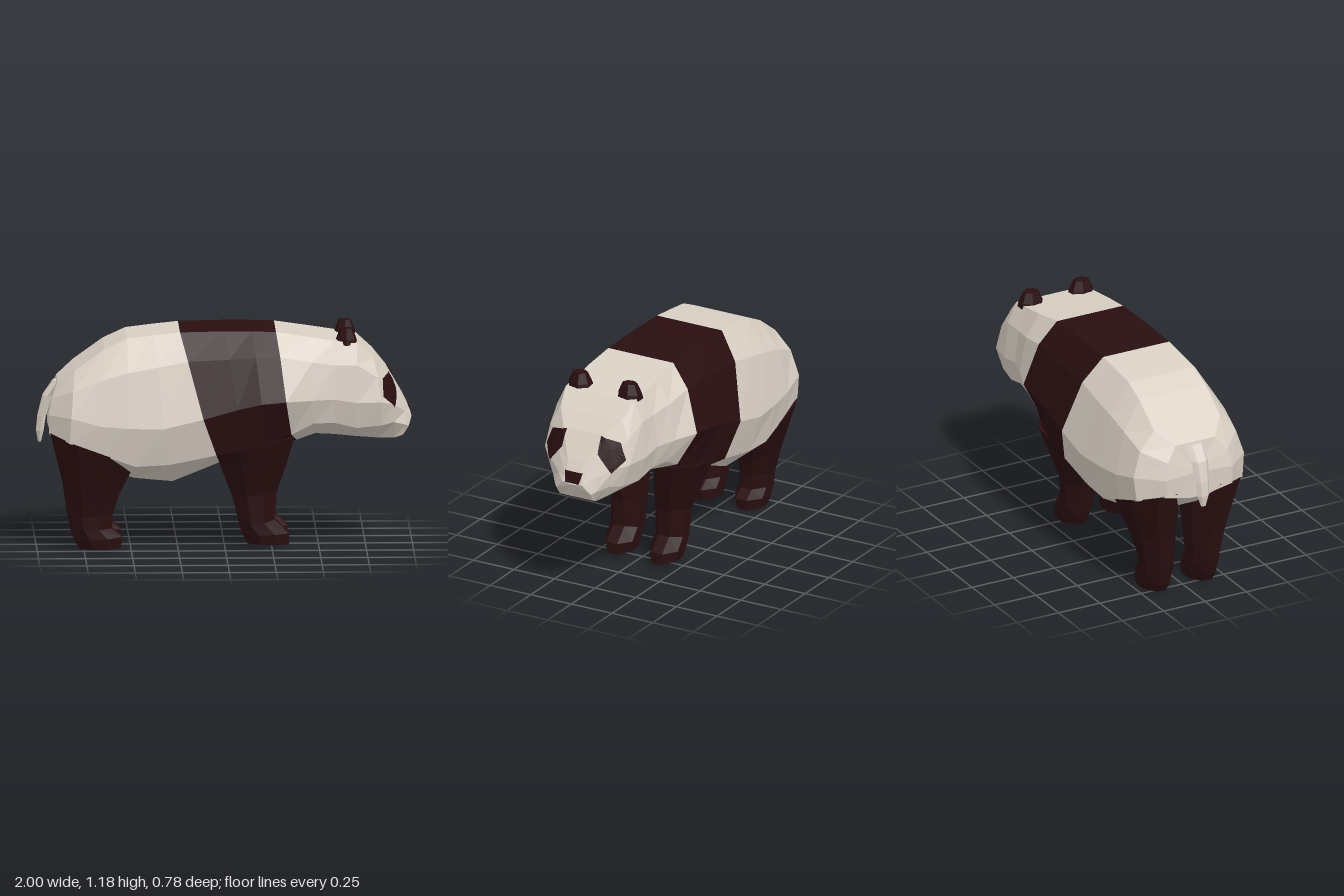
import * as THREE from 'three';

const light = new THREE.MeshStandardMaterial({ color: 0xdad0c5 });
light.name = 'creamFur';
const dark = new THREE.MeshStandardMaterial({ color: 0x290e10 });
dark.name = 'darkFur';
const darkThin = dark.clone();
darkThin.side = THREE.DoubleSide;

// Flat-shaded skin over a row of equal-length rings, with optional end caps
function loft(rings, { closed = true, startCap = false, endCap = false, apex = null } = {}) {
  const pos = [];
  const tri = (...pts) => pts.forEach((p) => pos.push(...p));
  const n = rings[0].length;
  const last = closed ? n : n - 1;
  for (let i = 0; i < rings.length - 1; i++) {
    for (let j = 0; j < last; j++) {
      const k = (j + 1) % n;
      const a = rings[i][j], b = rings[i][k], c = rings[i + 1][k], d = rings[i + 1][j];
      tri(a, d, c);
      tri(a, c, b);
    }
  }
  const mean = (r) => [0, 1, 2].map((q) => r.reduce((s, p) => s + p[q], 0) / n);
  const cap = (r, flip, tip) => r.forEach((p, j) => {
    const next = r[(j + 1) % n];
    if (flip) tri(tip, next, p); else tri(tip, p, next);
  });
  if (startCap) cap(rings[0], false, mean(rings[0]));
  if (endCap) cap(rings[rings.length - 1], true, apex || mean(rings[rings.length - 1]));
  const g = new THREE.BufferGeometry();
  g.setAttribute('position', new THREE.Float32BufferAttribute(pos, 3));
  g.computeVertexNormals();
  return g;
}

// Mirror a half section (top to belly) into a ring from left belly over the back to right belly
const ring = (half) => [...[...half].reverse(), ...half.map(([x, y, z]) => [x, y, -z])];

// Half sections: back edge, upper flank, widest flank, lower flank, belly
const bandBack = [[-0.24, 1.172, 0.2], [-0.2, 1.03, 0.305], [-0.12, 0.73, 0.385], [-0.05, 0.53, 0.33], [-0.03, 0.47, 0.18]];
const bandFront = [[0.27, 1.172, 0.2], [0.29, 1.05, 0.3], [0.32, 0.82, 0.375], [0.35, 0.63, 0.27], [0.38, 0.58, 0.12]];

const rumpSections = [
  [[-0.89, 0.9, 0.12], [-0.92, 0.82, 0.18], [-0.94, 0.73, 0.2], [-0.935, 0.63, 0.2], [-0.92, 0.59, 0.05]],
  [[-0.8, 0.97, 0.2], [-0.81, 0.87, 0.29], [-0.82, 0.73, 0.335], [-0.83, 0.595, 0.32], [-0.8, 0.5, 0.1]],
  [[-0.64, 1.085, 0.2], [-0.66, 0.93, 0.305], [-0.66, 0.69, 0.355], [-0.65, 0.53, 0.33], [-0.65, 0.43, 0.14]],
  [[-0.52, 1.14, 0.2], [-0.52, 0.97, 0.31], [-0.52, 0.68, 0.37], [-0.48, 0.47, 0.33], [-0.48, 0.388, 0.18]],
  [[-0.38, 1.157, 0.2], [-0.36, 1.0, 0.31], [-0.33, 0.68, 0.385], [-0.3, 0.48, 0.33], [-0.28, 0.373, 0.2]],
  bandBack,
];
const bandSections = [
  bandBack,
  [[0.0, 1.177, 0.2], [0.02, 1.04, 0.305], [0.06, 0.78, 0.38], [0.1, 0.55, 0.33], [0.1, 0.52, 0.15]],
  [[0.14, 1.176, 0.2], [0.16, 1.05, 0.305], [0.19, 0.81, 0.388], [0.23, 0.59, 0.31], [0.24, 0.55, 0.14]],
  bandFront,
];
const headSections = [
  bandFront,
  [[0.45, 1.145, 0.21], [0.46, 1.02, 0.285], [0.46, 0.82, 0.32], [0.47, 0.69, 0.27], [0.48, 0.617, 0.13]],
  [[0.58, 1.125, 0.21], [0.58, 1.0, 0.262], [0.58, 0.82, 0.285], [0.58, 0.69, 0.25], [0.58, 0.612, 0.13]],
  [[0.7, 1.11, 0.21], [0.7, 1.0, 0.262], [0.7, 0.8, 0.282], [0.7, 0.66, 0.24], [0.7, 0.6, 0.13]],
  [[0.79, 1.03, 0.19], [0.81, 0.93, 0.24], [0.83, 0.8, 0.262], [0.83, 0.67, 0.22], [0.82, 0.59, 0.12]],
  [[0.86, 0.95, 0.13], [0.87, 0.88, 0.17], [0.89, 0.78, 0.2], [0.9, 0.68, 0.17], [0.9, 0.586, 0.1]],
  [[0.945, 0.81, 0.055], [0.95, 0.78, 0.085], [0.96, 0.73, 0.1], [0.96, 0.66, 0.125], [0.93, 0.595, 0.1]],
  [[0.972, 0.757, 0.045], [0.98, 0.73, 0.055], [0.995, 0.7, 0.06], [0.978, 0.65, 0.105], [0.95, 0.605, 0.1]],
];

// Leg rings from top to sole: back x, back y, front x, front y, inner z, outer z
const hindLeg = [
  [-0.93, 0.635, -0.48, 0.475, 0.04, 0.338], [-0.86, 0.35, -0.56, 0.31, 0.05, 0.265],
  [-0.835, 0.17, -0.595, 0.2, 0.058, 0.225], [-0.82, 0.11, -0.6, 0.115, 0.058, 0.222],
  [-0.8, 0.05, -0.545, 0.07, 0.058, 0.222], [-0.77, 0.005, -0.555, 0.008, 0.065, 0.212],
];
const frontLeg = [
  [-0.06, 0.56, 0.365, 0.61, 0.06, 0.335], [-0.03, 0.47, 0.33, 0.48, 0.05, 0.29],
  [0.04, 0.28, 0.275, 0.31, 0.05, 0.225], [0.08, 0.12, 0.265, 0.16, 0.055, 0.22],
  [0.095, 0.08, 0.34, 0.085, 0.055, 0.222], [0.12, 0.03, 0.34, 0.025, 0.062, 0.212],
];

// Chamfered rectangle per leg ring, mirrored by side
function legGeometry(rows, side) {
  const outline = [[1, 0.7], [1, 0.3], [0.7, 0], [0.3, 0], [0, 0.3], [0, 0.7], [0.32, 1], [0.68, 1]];
  const rings = rows.map(([xb, yb, xf, yf, zi, zo]) => {
    const r = outline.map(([u, v]) => [xb + (xf - xb) * u, yb + (yf - yb) * u, side * (zi + (zo - zi) * v)]);
    return side > 0 ? r : r.reverse();
  });
  return loft(rings, { startCap: true, endCap: true });
}

// Thin patch: an outline in (z, y) laid onto the front of the head
function facePatch(head, corners) {
  const edge = [];
  corners.forEach(([z, y], i) => {
    const [z2, y2] = corners[(i + 1) % corners.length];
    for (let t = 0; t < 1; t += 0.25) edge.push([z + (z2 - z) * t, y + (y2 - y) * t]);
  });
  const cz = edge.reduce((s, p) => s + p[0], 0) / edge.length;
  const cy = edge.reduce((s, p) => s + p[1], 0) / edge.length;
  const ray = new THREE.Raycaster();
  const rings = [1, 0.75, 0.5, 0.25, 0.01].map((f) => edge.map(([ez, ey]) => {
    const z = cz + (ez - cz) * f, y = cy + (ey - cy) * f;
    ray.set(new THREE.Vector3(2, y, z), new THREE.Vector3(-1, 0, 0));
    const hit = ray.intersectObject(head)[0];
    return [(hit ? hit.point.x : 0.9) + 0.006, y, z];
  }));
  return loft(rings);
}

export function createModel() {
  const model = new THREE.Group();
  model.name = 'bear';
  const add = (name, geometry, material) => {
    const mesh = new THREE.Mesh(geometry, material);
    mesh.name = name;
    model.add(mesh);
    return mesh;
  };

  // Body
  add('rump', loft(rumpSections.map(ring), { startCap: true }), light);
  add('shoulderBand', loft(bandSections.map(ring), { closed: false }), dark);
  const underside = bandSections.map((s) => [[s[4][0], s[4][1], -s[4][2]], s[4]]);
  add('chestUnderside', loft(underside, { closed: false }), light);
  const head = add('head', loft(headSections.map(ring), { endCap: true, apex: [0.99, 0.69, 0] }), light);
  head.updateMatrixWorld();

  // Tail: centre x, y, half width, half thickness
  const tail = [[-0.885, 0.89, 0.055, 0.025], [-0.94, 0.81, 0.05, 0.025], [-0.97, 0.7, 0.042, 0.022],
    [-0.98, 0.62, 0.035, 0.02], [-0.982, 0.56, 0.015, 0.008]];
  add('tail', loft(tail.map(([x, y, w, t]) => [
    [x + t, y, w * 0.6], [x + t, y, -w * 0.6], [x, y, -w], [x - t, y, -w * 0.5], [x - t, y, w * 0.5], [x, y, w],
  ]), { startCap: true, endCap: true }), light);

  // Nose
  add('nose', facePatch(head, [[0.055, 0.76], [-0.055, 0.76], [-0.042, 0.7], [0.042, 0.7]]), darkThin);

  // Paired parts
  const earProfile = [[0.075, 0], [0.068, 0.03], [0.042, 0.085], [0, 0.088]].map(([x, y]) => new THREE.Vector2(x, y));
  const eye = [[0.105, 0.95], [0.11, 0.86], [0.19, 0.762], [0.245, 0.83], [0.21, 0.92]];
  for (const side of [1, -1]) {
    const label = side > 0 ? 'right' : 'left';
    add(`${label}HindLeg`, legGeometry(hindLeg, side), dark);
    add(`${label}FrontLeg`, legGeometry(frontLeg, side), dark);
    add(`${label}EyePatch`, facePatch(head, eye.map(([z, y]) => [z * side, y])), darkThin);
    const earGeometry = new THREE.LatheGeometry(earProfile, 7).toNonIndexed();
    earGeometry.scale(0.8, 1, 1);
    earGeometry.computeVertexNormals();
    add(`${label}Ear`, earGeometry, dark).position.set(0.645, 1.1, side * 0.152);
  }
  return model;
}
